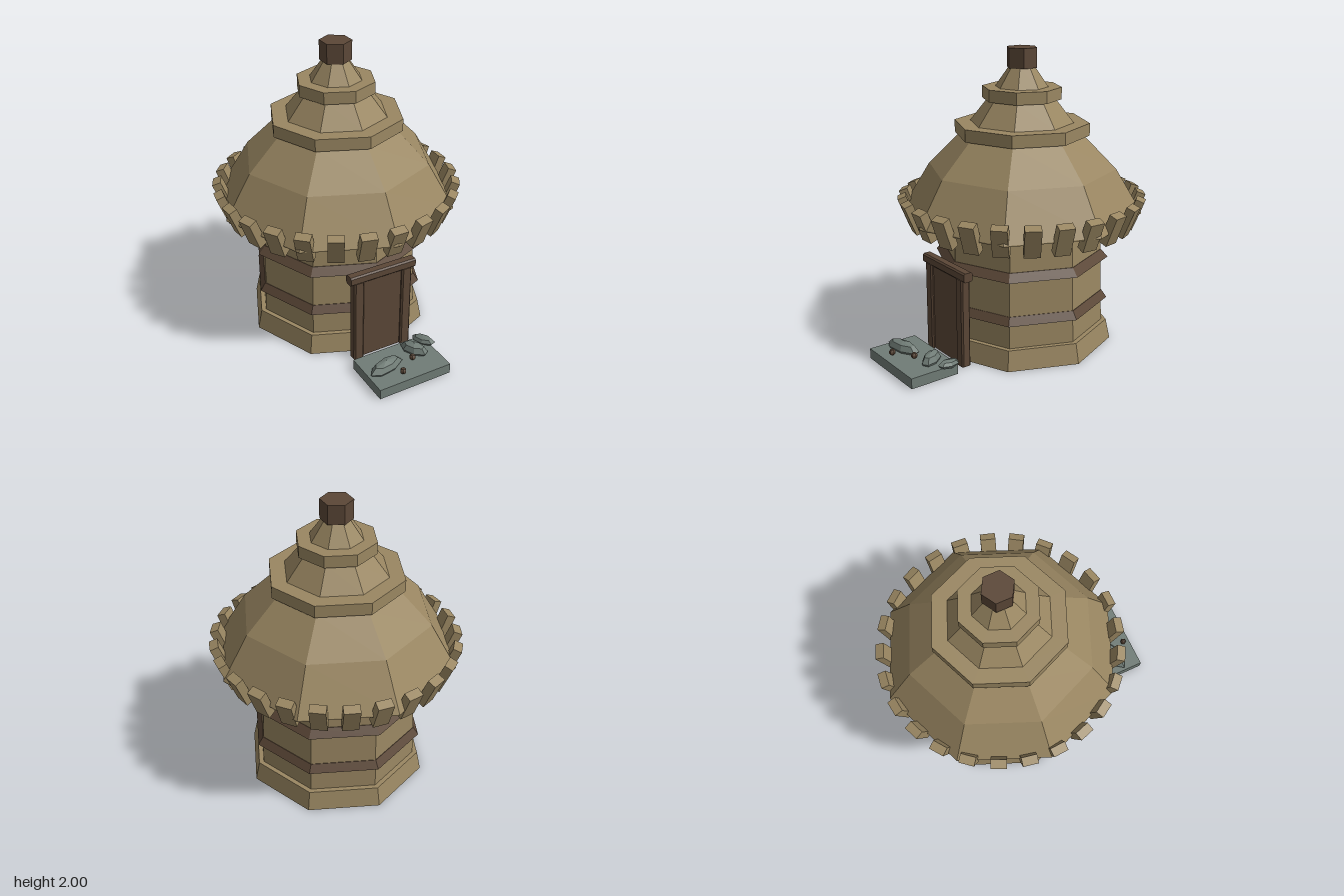
import * as THREE from 'three';

const straw = new THREE.MeshStandardMaterial({ name: 'straw', color: 0x9a8762 });
const wood = new THREE.MeshStandardMaterial({ name: 'dark wood', color: 0x5b4737 });
const stone = new THREE.MeshStandardMaterial({ name: 'grey stone', color: 0x707c76 });

// Faceted mesh: every face gets its own normal
function part(name, geometry, material, x = 0, y = 0, z = 0) {
  const flat = geometry.index ? geometry.toNonIndexed() : geometry;
  flat.computeVertexNormals();
  const mesh = new THREE.Mesh(flat, material);
  mesh.name = name;
  mesh.position.set(x, y, z);
  return mesh;
}

// Eight-sided turned shape from [radius, height] pairs, bottom to top
const octagonal = (profile) =>
  new THREE.LatheGeometry(profile.map(([r, y]) => new THREE.Vector2(r, y)), 8);

// Upright beam with chamfered long edges, standing on y = 0
function beam(w, d, length, c = 0.01) {
  const a = w / 2, b = d / 2;
  const outline = [[-a + c, -b], [a - c, -b], [a, -b + c], [a, b - c],
    [a - c, b], [-a + c, b], [-a, b - c], [-a, -b + c]];
  const shape = new THREE.Shape(outline.map(([x, y]) => new THREE.Vector2(x, y)));
  return new THREE.ExtrudeGeometry(shape, { depth: length, bevelEnabled: false }).rotateX(-Math.PI / 2);
}

export function createModel() {
  const model = new THREE.Group();
  model.name = 'thatchedHut';

  // Round hut, set back behind the doorstep
  const hut = new THREE.Group();
  hut.name = 'hut';
  hut.position.z = -0.108;
  model.add(hut);

  // Walls with a wider plinth
  hut.add(part('walls', octagonal([
    [0, 0], [0.622, 0], [0.593, 0.135], [0.56, 0.135], [0.533, 0.918],
  ]), straw));

  // Flared wooden bands
  for (const [y, top] of [[0.3, 0.556], [0.595, 0.545]]) {
    hut.add(part('wallBand', octagonal([
      [0.53, y], [0.592, y], [top, y + 0.053], [0.53, y + 0.053],
    ]), wood));
  }

  // Tiered thatched roof with closed underside
  hut.add(part('roof', octagonal([
    [0, 0.912], [0.805, 0.912], [0.805, 0.92], [0.63, 1.21], [0.412, 1.43],
    [0.45, 1.43], [0.45, 1.512], [0.345, 1.512], [0.225, 1.665],
    [0.262, 1.665], [0.262, 1.745], [0.175, 1.745], [0.085, 1.875], [0, 1.875],
  ]), straw));
  hut.add(part('roofCap', new THREE.CylinderGeometry(0.105, 0.105, 0.13, 6), wood, 0, 1.935, 0));

  // Ring of outward-leaning thatch bundles around the eaves
  const bundles = 25;
  for (let i = 0; i < bundles; i++) {
    const angle = (i / bundles) * Math.PI * 2;
    const bundle = part('eaveBundle', new THREE.BoxGeometry(0.104, 0.207, 0.06), straw,
      Math.sin(angle) * 0.764, 0.935, Math.cos(angle) * 0.764);
    bundle.rotation.set(0.38, angle, 0, 'YXZ');
    hut.add(bundle);
  }

  // Doorway
  const doorway = new THREE.Group();
  doorway.name = 'doorway';
  doorway.position.z = 0.497;
  for (const side of [-1, 1]) {
    doorway.add(part('doorPost', beam(0.074, 0.066, 0.6), wood, side * 0.179, 0, 0));
  }
  doorway.add(part('door', new THREE.BoxGeometry(0.29, 0.6, 0.04), wood, 0, 0.3, -0.005));
  const lintel = part('lintel', beam(0.062, 0.066, 0.486), wood, 0.243, 0.625, 0);
  lintel.rotation.z = Math.PI / 2;
  doorway.add(lintel);
  model.add(doorway);

  // Stone doorstep
  model.add(part('doorstep', new THREE.BoxGeometry(0.53, 0.07, 0.342), stone, 0, 0.035, 0.771));

  // Long angular rocks: position, half sizes, turn and tilt
  const rocks = [
    [-0.12, 0.085, 0.775, 0.138, 0.05, 0.056, 0.24, 0],
    [0.132, 0.085, 0.715, 0.1, 0.052, 0.05, -1.01, 0],
    [0.245, 0.08, 0.655, 0.095, 0.028, 0.045, -1.25, 0.15],
  ];
  for (const [x, y, z, sx, sy, sz, turn, tilt] of rocks) {
    const rock = part('rock', new THREE.SphereGeometry(1, 7, 4).scale(sx, sy, sz), stone, x, y, z);
    rock.rotation.set(0, turn, tilt);
    model.add(rock);
  }

  // Small round nuts
  for (const [x, z] of [[-0.063, 0.888], [0.064, 0.8]]) {
    model.add(part('nut', new THREE.SphereGeometry(0.022, 6, 5), wood, x, 0.108, z));
  }
  return model;
}
